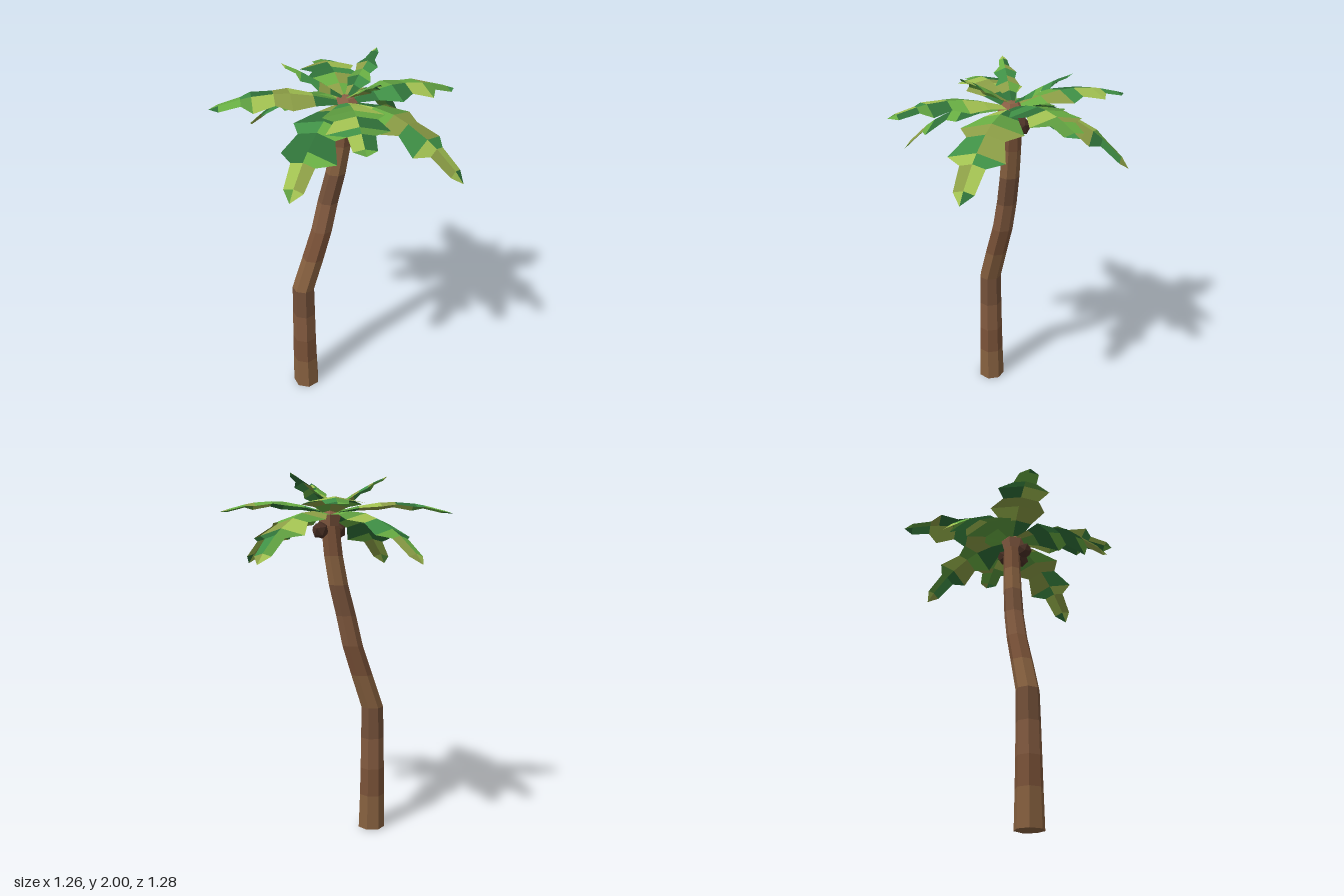
import * as THREE from 'three';

const makeMat = (color) => new THREE.MeshStandardMaterial({ color, flatShading: true, side: THREE.DoubleSide });
const greens = [0x68ad42, 0x3f8f45, 0xa0bf50, 0x5c9a3e, 0x2f7038, 0x8a9c45].map(makeMat);
const barks = [0x86603f, 0x7a5238, 0x825a3f, 0x735039].map(makeMat);
const nutMat = makeMat(0x4a3025);
const crownMat = makeMat(0x8a5f45);

// Small seeded generator for the patchwork of leaf colours
let seed = 11;
const rand = () => (seed = (seed * 16807) % 2147483647) / 2147483647;

// Trunk rings: x, y, z, radius
const rings = [
  [-0.208, 0, 0.045, 0.078], [-0.21, 0.2, 0.045, 0.073], [-0.21, 0.36, 0.045, 0.07],
  [-0.209, 0.54, 0.045, 0.067], [-0.208, 0.72, 0.044, 0.064], [-0.145, 0.91, 0.03, 0.062],
  [-0.09, 1.08, 0.015, 0.059], [-0.052, 1.25, 0.006, 0.057], [-0.01, 1.42, 0.008, 0.055],
  [0.018, 1.58, 0.01, 0.053], [0.035, 1.74, 0.012, 0.051],
];

// One tapered, skewed band of bark between two rings
function trunkBand(lower, upper, index) {
  const geo = new THREE.CylinderGeometry(1, 1, 1, 7, 1, index > 0);
  const p = geo.attributes.position;
  for (let i = 0; i < p.count; i++) {
    const [x, y, z, r] = p.getY(i) > 0 ? upper : lower;
    p.setXYZ(i, x + p.getX(i) * r, y, z + p.getZ(i) * r);
  }
  geo.computeVertexNormals();
  const mesh = new THREE.Mesh(geo, barks[index % barks.length]);
  mesh.name = 'trunkBand';
  return mesh;
}

// Leaf template: fraction of length and half width at each station
const along = [0.06, 0.24, 0.41, 0.53, 0.69, 0.77, 0.93, 1];
const halfWidth = [0.04, 0.09, 0.158, 0.1, 0.145, 0.065, 0.055, 0];
// Midrib height at each station
const flatRib = [1.82, 1.85, 1.868, 1.87, 1.862, 1.852, 1.825, 1.81];
const droopRib = [1.81, 1.815, 1.8, 1.77, 1.715, 1.68, 1.59, 1.535];
const risingRib = [1.84, 1.875, 1.91, 1.93, 1.957, 1.97, 1.99, 2.0];

// A serrated leaf folded along its midrib, from the crown to a tip (x, z)
function frond(name, base, tip, rib, widthScale, fold) {
  const dx = tip[0] - base[0], dz = tip[1] - base[1], len = Math.hypot(dx, dz);
  const point = (i, side) => {
    const w = halfWidth[i] * widthScale * side * (0.94 + 0.12 * rand());
    return [
      base[0] + dx * along[i] - (dz / len) * w,
      rib[i] - Math.abs(w) * fold,
      base[1] + dz * along[i] + (dx / len) * w,
    ];
  };
  const rows = along.map((_, i) => [-1, 0, 1].map((s) => point(i, s)));
  const pos = [], geo = new THREE.BufferGeometry();
  for (let i = 0; i < rows.length - 1; i++) {
    for (let s = 0; s < 2; s++) {
      const a = rows[i][s], b = rows[i][s + 1], c = rows[i + 1][s + 1], d = rows[i + 1][s];
      geo.addGroup(pos.length / 3, 6, Math.floor(rand() * greens.length));
      // The diagonal mirrors across the midrib
      pos.push(...(s ? [a, b, c, a, c, d] : [a, b, d, b, c, d]).flat());
    }
  }
  geo.setAttribute('position', new THREE.Float32BufferAttribute(pos, 3));
  geo.computeVertexNormals();
  const mesh = new THREE.Mesh(geo, greens);
  mesh.name = name;
  return mesh;
}

export function createModel() {
  const model = new THREE.Group();
  model.name = 'palmTree';

  // Trunk
  const trunk = new THREE.Group();
  trunk.name = 'trunk';
  for (let i = 0; i < rings.length - 1; i++) trunk.add(trunkBand(rings[i], rings[i + 1], i));
  model.add(trunk);

  // Crown knob flaring out of the trunk top
  const profile = [[0, 1.7], [0.05, 1.72], [0.072, 1.8], [0.04, 1.835], [0, 1.84]];
  const crown = new THREE.Mesh(
    new THREE.LatheGeometry(profile.map(([r, y]) => new THREE.Vector2(r, y)), 6), crownMat);
  crown.position.set(0.04, 0, 0.02);
  crown.name = 'crown';
  model.add(crown);

  // Coconuts
  for (const [x, z] of [[-0.012, 0.08], [0.088, 0.08], [0.088, -0.02]]) {
    const nut = new THREE.Mesh(new THREE.IcosahedronGeometry(0.048, 0), nutMat);
    nut.position.set(x, 1.718, z);
    nut.rotation.set(x * 9, z * 20, 0.4);
    nut.name = 'coconut';
    model.add(nut);
  }

  // Fronds
  const fronds = new THREE.Group();
  fronds.name = 'fronds';
  const base = [0.04, 0.015];
  for (const tip of [[0.63, -0.04], [-0.635, -0.03], [0.045, -0.645], [-0.02, 0.64]])
    fronds.add(frond('spreadingFrond', base, tip, flatRib, 1, 0.2));
  for (const tip of [[0.505, 0.485], [-0.335, 0.485], [-0.395, -0.44], [0.42, -0.455]])
    fronds.add(frond('droopingFrond', base, tip, droopRib, 1, 0.25));
  for (const tip of [[-0.265, -0.07], [0.255, -0.205], [0.125, 0.32]])
    fronds.add(frond('youngFrond', base, tip, risingRib, 0.42, 0.4));
  model.add(fronds);

  return model;
}
